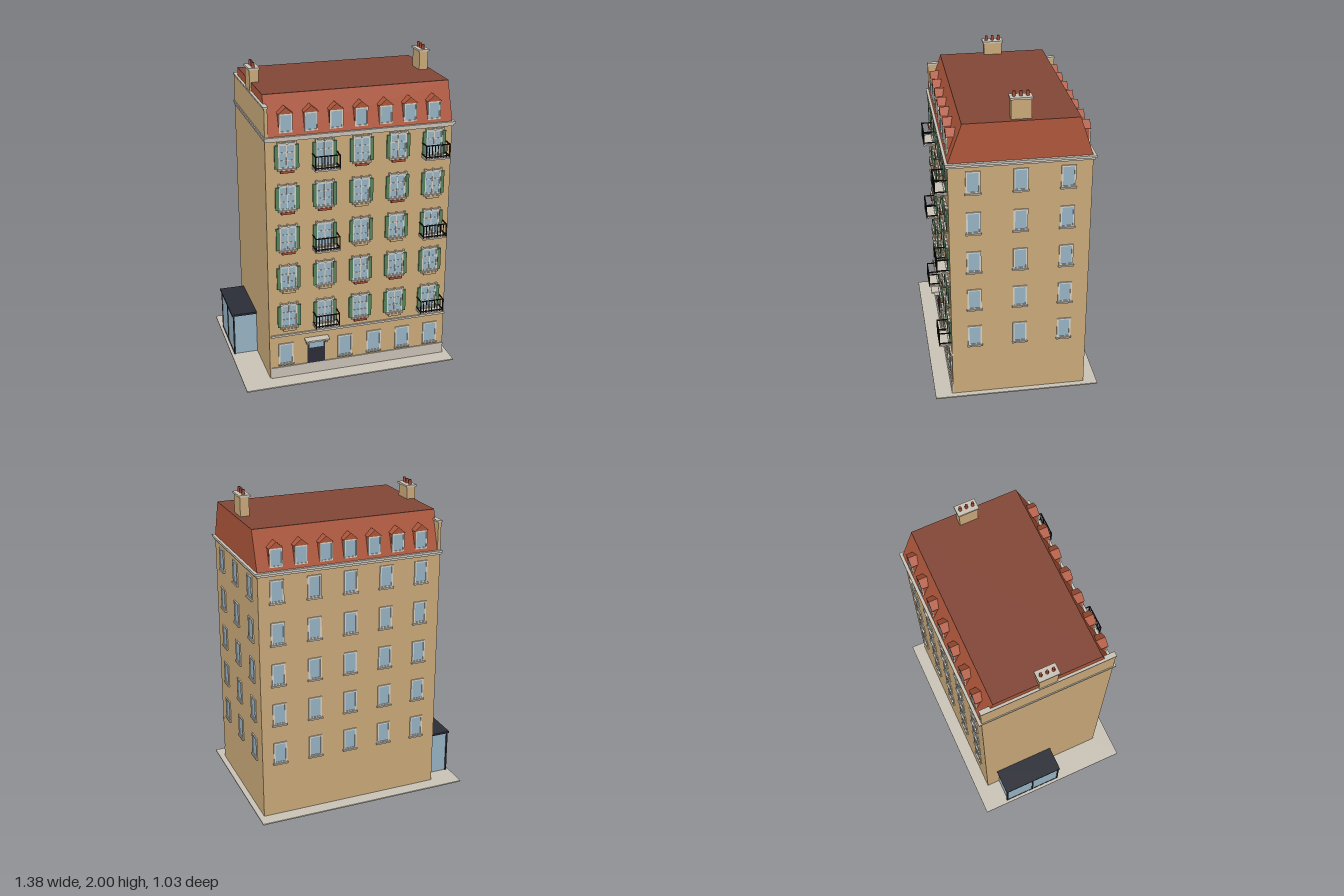
import * as THREE from 'three';

const paint = (name, color) => {
  const m = new THREE.MeshStandardMaterial({ color });
  m.name = name;
  return m;
};

export function createModel() {
  const wall = paint('ochre plaster', 0xcaaa7a), stone = paint('pale stone', 0xc9c2b6);
  const tile = paint('roof tile', 0xae563b), deck = paint('roof deck', 0x824636);
  const clay = paint('terracotta', 0xa04a36), glass = paint('window glass', 0x98b4c5);
  const trim = paint('window trim', 0xd6d0c4), green = paint('shutter green', 0x57835f);
  const dark = paint('dark metal', 0x2b2d37), iron = paint('black iron', 0x19191c);

  const model = new THREE.Group();
  model.name = 'apartmentBuilding';
  const FRONT = 0.403, BACK = -0.435, LEFT = -0.515, RIGHT = 0.655;
  const columns = [0, 1, 2, 3, 4].map(i => -0.386 + i * 0.2315);
  const floors = [0, 1, 2, 3, 4].map(i => 0.36 + i * 0.2615);

  // Box given by its min and max along each axis
  const block = (parent, name, mat, x0, x1, y0, y1, z0, z1) => {
    const m = new THREE.Mesh(new THREE.BoxGeometry(x1 - x0, y1 - y0, z1 - z0), mat);
    m.position.set((x0 + x1) / 2, (y0 + y1) / 2, (z0 + z1) / 2);
    m.name = name;
    parent.add(m);
    return m;
  };
  const group = (name, x, y, z, turn = 0) => {
    const g = new THREE.Group();
    g.name = name;
    g.position.set(x, y, z);
    g.rotation.y = turn;
    model.add(g);
    return g;
  };
  const prism = (parent, name, mat, points, depth) => {
    const shape = new THREE.Shape(points.map(p => new THREE.Vector2(...p)));
    const m = new THREE.Mesh(new THREE.ExtrudeGeometry(shape, { depth, bevelEnabled: false }), mat);
    m.name = name;
    parent.add(m);
    return m;
  };

  // Glass with a surround, standing on local y = 0 and facing local +z
  const pane = (g, w, h, edge = 0.01) => {
    block(g, 'glass', glass, -w / 2 + edge, w / 2 - edge, edge, h - edge, -0.002, 0.003);
    for (const s of [-1, 1]) {
      const a = s * w / 2, b = s * (w / 2 - edge);
      block(g, 'jamb', trim, Math.min(a, b), Math.max(a, b), 0, h, -0.002, 0.007);
    }
    block(g, 'head', trim, -w / 2 + edge, w / 2 - edge, h - edge, h, -0.002, 0.007);
    block(g, 'bottomRail', trim, -w / 2 + edge, w / 2 - edge, 0, edge, -0.002, 0.007);
  };
  const plainWindow = (x, y, z, turn) => {
    const g = group('plainWindow', x, y, z, turn);
    pane(g, 0.086, 0.14);
    block(g, 'sill', stone, -0.048, 0.048, -0.008, 0.002, -0.002, 0.013);
  };

  // Pavement and main volume
  block(model, 'pavement', stone, -0.69, 0.69, 0, 0.008, -0.52, 0.515);
  block(model, 'walls', wall, LEFT, RIGHT, 0.008, 1.6, BACK, FRONT);
  block(model, 'plinth', stone, -0.505, RIGHT, 0.008, 0.08, FRONT - 0.01, 0.41);
  block(model, 'stringCourse', stone, -0.505, RIGHT + 0.002, 0.297, 0.31, FRONT - 0.01, 0.414);
  block(model, 'lowerCornice', stone, LEFT - 0.002, 0.663, 1.578, 1.592, BACK - 0.01, 0.412);
  block(model, 'upperCornice', stone, -0.521, 0.673, 1.592, 1.606, -0.453, 0.419);

  // Mansard roof and the parapet on the party wall
  const mansard = prism(model, 'mansardRoof', tile,
    [[-FRONT, 1.604], [-BACK, 1.604], [0.355, 1.839], [-0.318, 1.839]], RIGHT + 0.505);
  mansard.rotation.y = Math.PI / 2;
  mansard.position.x = -0.505;
  block(model, 'roofDeck', deck, -0.505, RIGHT, 1.838, 1.842, -0.356, 0.319);
  block(model, 'parapet', wall, LEFT, -0.495, 1.6, 1.78, BACK, FRONT);
  block(model, 'parapetCap', stone, -0.521, -0.489, 1.78, 1.79, BACK - 0.002, FRONT + 0.002);

  // Dormers on both slopes
  for (const [z, turn] of [[0.392, 0], [-0.424, Math.PI]]) {
    for (let i = 0; i < 7; i++) {
      const g = group('dormer', -0.386 + i * 0.154, 1.625, z, turn);
      prism(g, 'dormerBody', tile,
        [[-0.041, 0], [0.041, 0], [0.041, 0.115], [0, 0.145], [-0.041, 0.115]], 0.11).position.z = -0.11;
      prism(g, 'dormerRoof', tile,
        [[-0.046, 0.113], [0.046, 0.113], [0, 0.152]], 0.118).position.z = -0.11;
      pane(g, 0.08, 0.113, 0.008);
    }
  }

  // Chimneys with three pots each
  for (const [x, base, top] of [[-0.487, 1.6, 1.925], [0.603, 1.838, 1.965]]) {
    const g = group('chimney', x, 0, -0.02);
    block(g, 'chimneyStack', wall, -0.028, 0.028, base, top, -0.058, 0.058);
    block(g, 'chimneyCap', stone, -0.035, 0.035, top - 0.007, top + 0.005, -0.065, 0.065);
    for (const z of [-0.039, 0, 0.039]) {
      const pot = new THREE.Mesh(new THREE.CylinderGeometry(0.008, 0.01, 0.032, 10), clay);
      pot.position.set(0, top + 0.019, z);
      pot.name = 'chimneyPot';
      g.add(pot);
    }
  }

  // Shuttered front windows; 'R' marks a red planter, 'B' a balcony
  const fittings = ['.BR.B', '..RR.', 'RB..B', 'RR.R.', 'RBRRB'];
  floors.forEach((y, f) => columns.forEach((x, c) => {
    const g = group('frontWindow', x, y, FRONT);
    pane(g, 0.108, 0.155);
    block(g, 'mullion', trim, -0.003, 0.003, 0.01, 0.145, 0, 0.006);
    block(g, 'transom', trim, -0.044, 0.044, 0.098, 0.103, 0, 0.006);
    block(g, 'glazingBar', trim, -0.044, 0.044, 0.05, 0.054, 0, 0.006);
    block(g, 'lintel', stone, -0.058, 0.058, 0.153, 0.163, -0.002, 0.014);
    for (const bx of [-0.052, 0, 0.052]) block(g, 'lintelBlock', stone, bx - 0.006, bx + 0.006, 0.155, 0.17, -0.002, 0.016);
    for (const s of [-1, 1]) block(g, 'shutter', green, s * 0.063 - 0.011, s * 0.063 + 0.011, 0.005, 0.148, -0.002, 0.01);
    block(g, 'sill', stone, -0.058, 0.058, -0.008, 0.002, -0.002, 0.016);
    const kind = fittings[f][c];
    if (kind === 'B') addBalcony(g);
    else block(g, kind === 'R' ? 'planter' : 'sillApron', kind === 'R' ? clay : wall, -0.042, 0.042, -0.022, -0.006, -0.002, 0.02);
  }));

  // Balcony slab with an iron railing
  function addBalcony(g) {
    const w = 0.078, d = 0.075, top = 0.082;
    block(g, 'balconySlab', stone, -w, w, -0.014, -0.004, -0.002, d);
    for (const y of [0.004, top - 0.006]) {
      block(g, 'frontRail', iron, -w, w, y, y + 0.006, d - 0.006, d);
      for (const s of [-1, 1]) block(g, 'sideRail', iron, s * (w - 0.003) - 0.003, s * (w - 0.003) + 0.003, y, y + 0.006, 0, d);
    }
    for (let i = 0; i <= 8; i++) {
      const x = (i / 8 * 2 - 1) * (w - 0.003), r = i % 8 ? 0.002 : 0.003;
      block(g, 'baluster', iron, x - r, x + r, -0.006, top, d - 0.003 - r, d - 0.003 + r);
    }
  }

  // Plain windows on the right side and the back
  for (const y of floors) {
    for (const z of [0.26, -0.017, -0.294]) plainWindow(RIGHT, y + 0.006, z, Math.PI / 2);
    for (const x of columns) plainWindow(x, y + 0.006, BACK, Math.PI);
  }

  // Ground floor windows
  for (const x of [-0.41, -0.021, 0.173, 0.367, 0.56]) {
    const g = group('groundWindow', x, 0.098, FRONT);
    pane(g, 0.096, 0.147);
    block(g, 'sill', stone, -0.05, 0.05, -0.006, 0.002, -0.002, 0.012);
  }

  // Entrance door under a canopy
  const door = group('entrance', -0.213, 0.08, FRONT);
  block(door, 'doorLeaf', dark, -0.058, 0.058, 0, 0.16, -0.002, 0.006);
  block(door, 'doorLight', glass, -0.046, 0.046, 0.11, 0.15, 0, 0.009);
  block(door, 'canopy', stone, -0.077, 0.077, 0.172, 0.182, -0.002, 0.055);
  block(door, 'canopyMoulding', stone, -0.068, 0.068, 0.156, 0.172, -0.002, 0.018);
  for (const s of [-1, 1]) block(door, 'canopyBracket', stone, s * 0.062 - 0.006, s * 0.062 + 0.006, 0.148, 0.172, -0.002, 0.035);

  // Glazed shelter against the party wall
  const shelter = group('shelter', 0, 0, 0);
  block(shelter, 'shelterRoof', dark, -0.679, LEFT, 0.287, 0.3, -0.359, 0.046);
  block(shelter, 'shelterGlass', glass, -0.668, LEFT, 0.008, 0.287, -0.348, 0.036);
  for (const z of [-0.35, -0.156, 0.038]) block(shelter, 'shelterPost', dark, -0.672, -0.662, 0.008, 0.288, z - 0.005, z + 0.005);
  block(shelter, 'shelterBaseRail', dark, -0.671, -0.662, 0.008, 0.015, -0.35, 0.038);
  return model;
}
